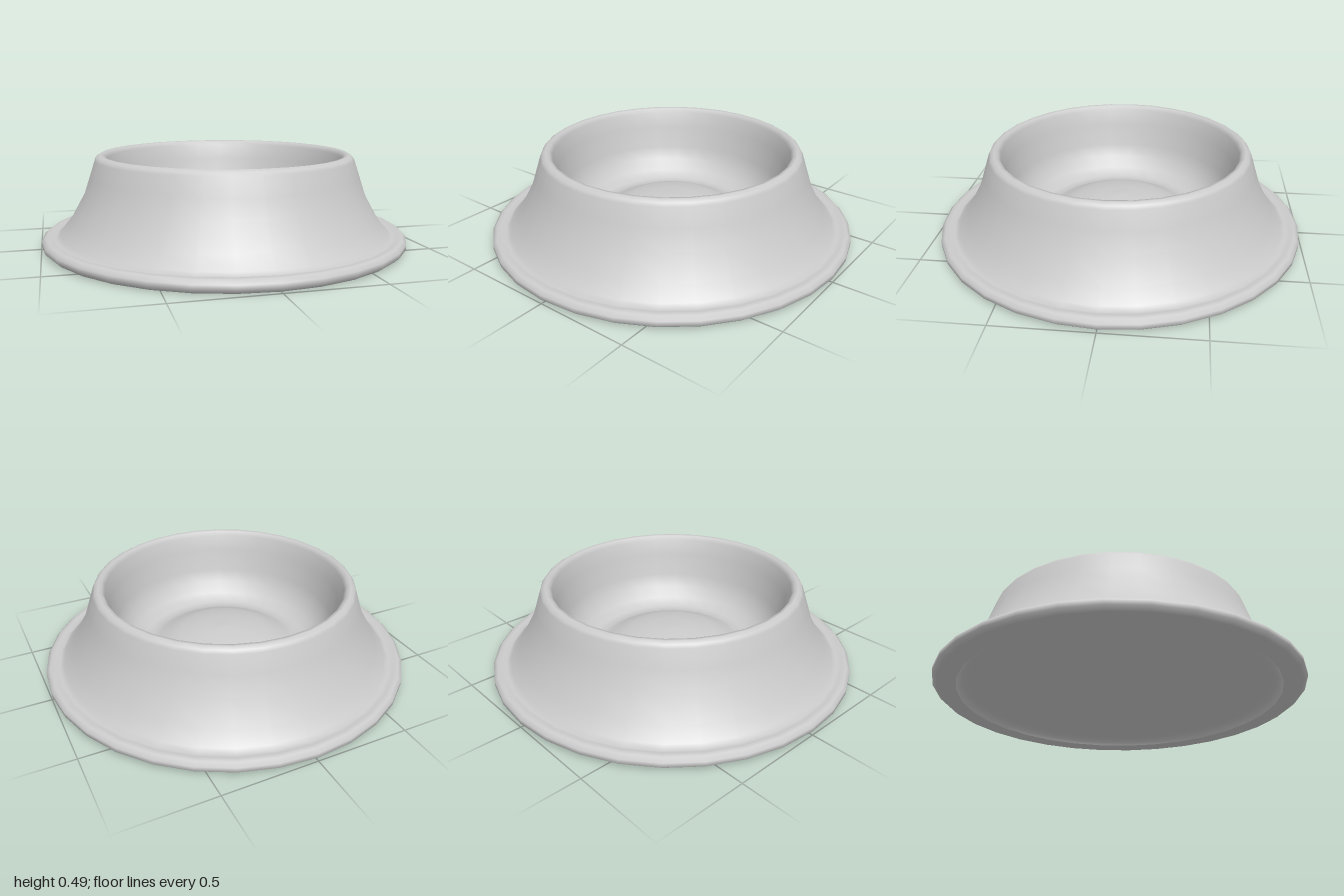
import * as THREE from 'three';

const SEGMENTS = 32;

// Revolve a list of [radius, height] points into a smooth surface
function revolve(name, points, material) {
  const profile = points.map(([r, y]) => new THREE.Vector2(r, y));
  const mesh = new THREE.Mesh(new THREE.LatheGeometry(profile, SEGMENTS), material);
  mesh.name = name;
  return mesh;
}

export function createModel() {
  const group = new THREE.Group();
  group.name = 'petBowl';
  const material = new THREE.MeshStandardMaterial({ color: 0xcccccc, side: THREE.DoubleSide });

  // Recessed underside with a short steep wall inside the foot
  group.add(revolve('underside', [
    [0, 0.05], [0.5, 0.05], [0.78, 0.047], [0.84, 0.038], [0.865, 0.02], [0.876, 0.002],
  ], material));

  group.add(revolve('bowl', [
    // Rounded foot ring
    [0.876, 0.002], [0.92, 0], [0.975, 0], [0.998, 0.02], [0.998, 0.045],
    [0.978, 0.063], [0.95, 0.065], [0.925, 0.055],
    // Flared outer wall and lip
    [0.9, 0.073], [0.845, 0.14], [0.775, 0.265], [0.74, 0.37], [0.71, 0.462],
    [0.7, 0.478], [0.68, 0.49], [0.66, 0.487], [0.645, 0.465],
    // Inner wall curving into a shallow trough
    [0.625, 0.38], [0.6, 0.25], [0.575, 0.178], [0.53, 0.12], [0.47, 0.085], [0.42, 0.082],
    // Raised dome in the middle
    [0.37, 0.103], [0.315, 0.133], [0.24, 0.163], [0.12, 0.185], [0, 0.19],
  ], material));

  return group;
}
